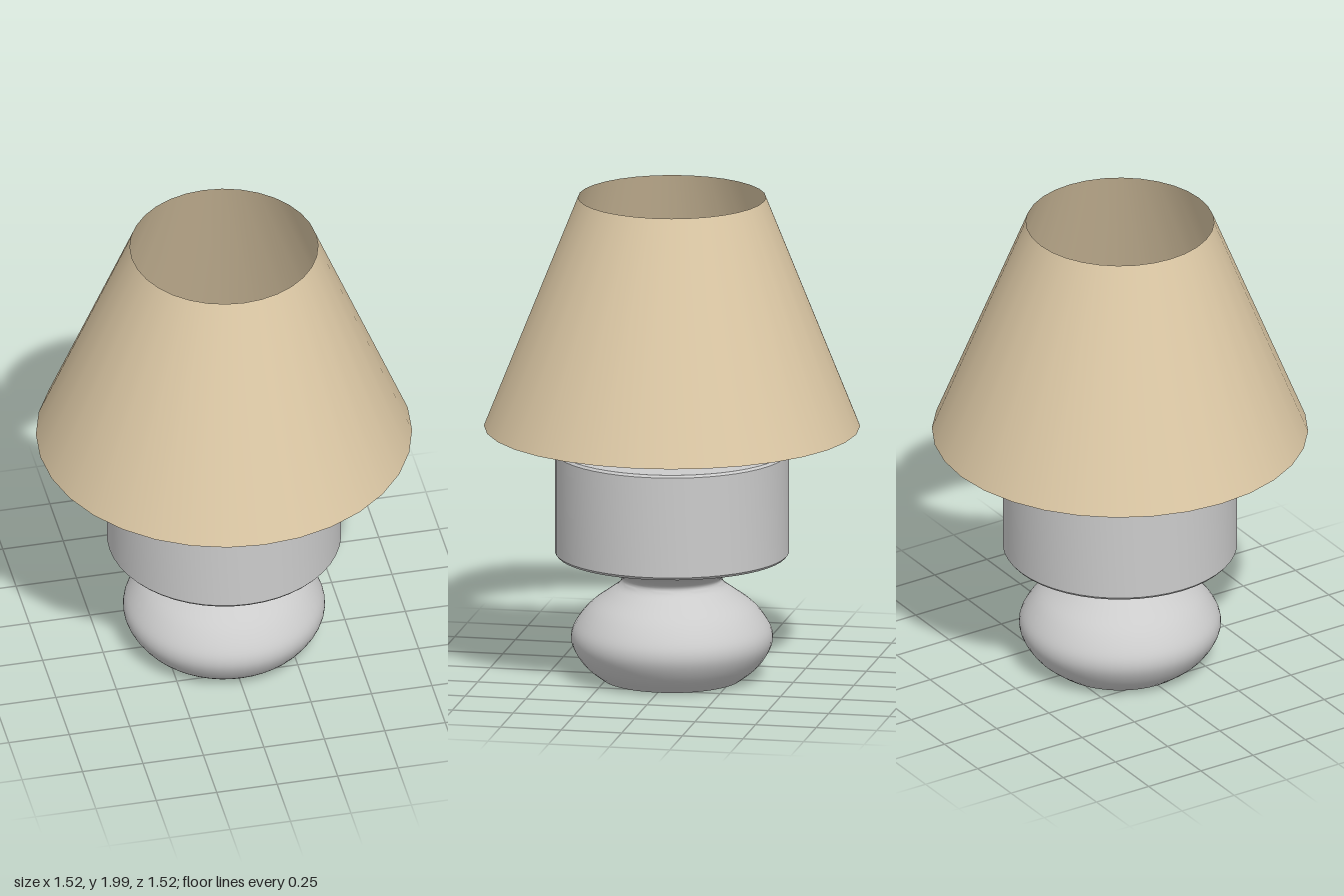
import * as THREE from 'three';
import { toCreasedNormals } from 'three/addons/utils/BufferGeometryUtils.js';

const grey = new THREE.MeshStandardMaterial({ color: 0xcccccc });
const fabric = new THREE.MeshStandardMaterial({ color: 0xdcc8a5, side: THREE.DoubleSide });

// Revolve [radius, height] pairs, listed from bottom to top
function turned(name, profile, segments, material) {
  const points = profile.map(([r, y]) => new THREE.Vector2(r, y));
  const geometry = toCreasedNormals(new THREE.LatheGeometry(points, segments), 0.6);
  const mesh = new THREE.Mesh(geometry, material);
  mesh.name = name;
  return mesh;
}

export function createModel() {
  const lamp = new THREE.Group();
  lamp.name = 'tableLamp';

  // Rounded foot swelling out, then narrowing to a waist
  const bulge = new THREE.SplineCurve([
    [0.285, 0.008], [0.35, 0.06], [0.395, 0.125], [0.408, 0.18], [0.39, 0.235],
    [0.335, 0.305], [0.255, 0.365], [0.215, 0.395], [0.205, 0.425], [0.25, 0.457],
    [0.325, 0.487], [0.405, 0.511],
  ].map(([r, y]) => new THREE.Vector2(r, y))).getPoints(44).map((p) => [p.x, p.y]);

  // Base: foot, waist and broad drum in one turned body
  lamp.add(turned('base', [
    [0, 0.008], ...bulge,
    [0.465, 0.519], [0.474, 0.53], [0.474, 0.945], [0.466, 0.955], [0, 0.955],
  ], 48, grey));

  // Thin stem widening into a hollow bulb socket
  lamp.add(turned('stemAndSocket', [
    [0.025, 0.95], [0.025, 1.08], [0.083, 1.1], [0.083, 1.28],
    [0.075, 1.28], [0.045, 1.23], [0.025, 1.22], [0.025, 1.25], [0, 1.25],
  ], 32, grey));

  // Open conical shade
  const shade = new THREE.Mesh(new THREE.CylinderGeometry(0.38, 0.76, 0.95, 32, 1, true), fabric);
  shade.name = 'shade';
  shade.position.y = 1.525;
  lamp.add(shade);

  return lamp;
}
